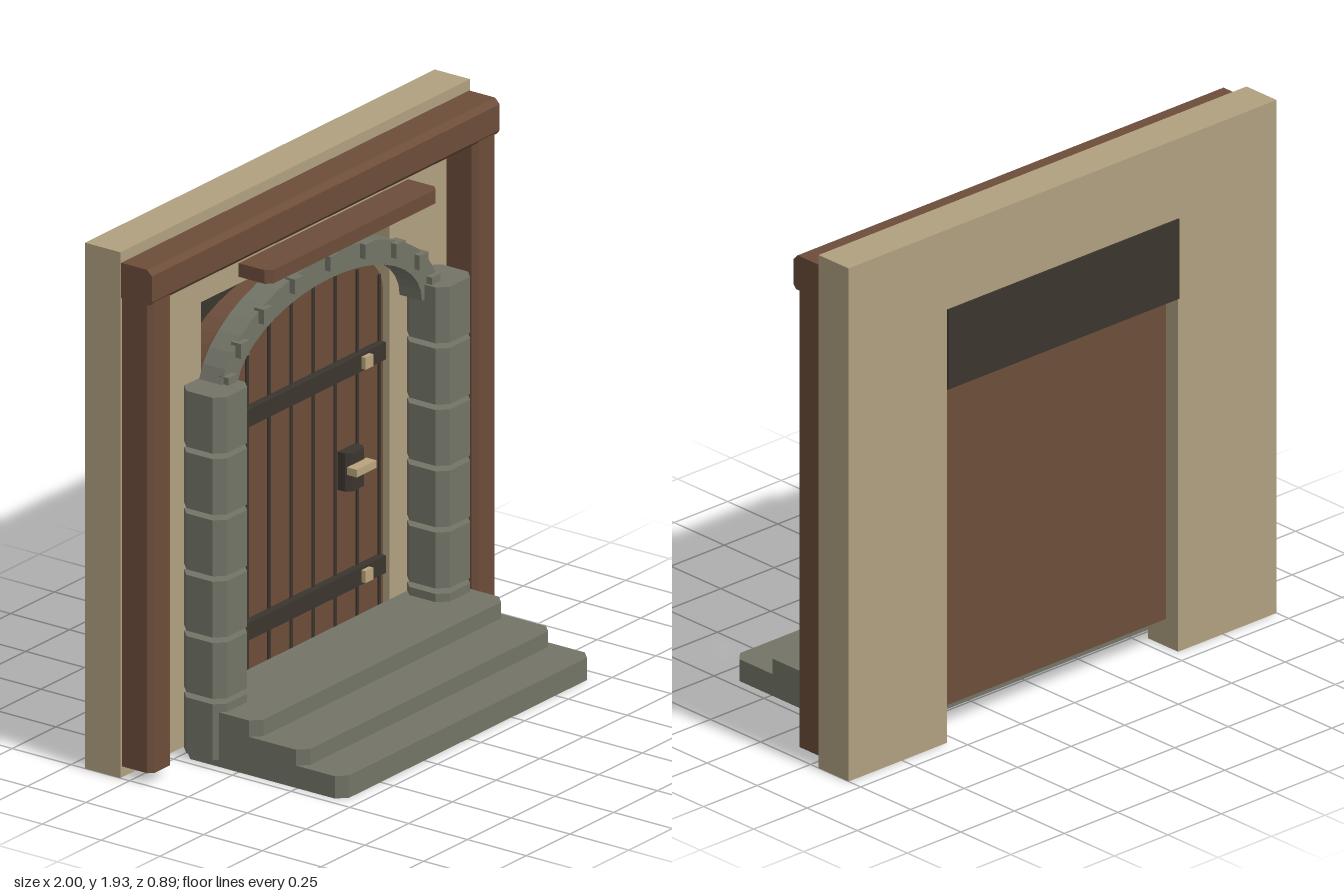
import * as THREE from 'three';

const material = (name, color) => {
  const m = new THREE.MeshStandardMaterial({ color });
  m.name = name;
  return m;
};

export function createModel() {
  const plaster = material('plaster', 0xb0a080);
  const wood = material('wood', 0x6c4d3a);
  const stone = material('stone', 0x737467);
  const iron = material('iron', 0x3b352e);
  const brass = material('brass', 0xbaa47c);

  const model = new THREE.Group();
  model.name = 'doorway';

  const add = (name, geometry, mat) => {
    const mesh = new THREE.Mesh(geometry, mat);
    mesh.name = name;
    model.add(mesh);
    return mesh;
  };

  // Plain block given by its limits on each axis
  const box = (name, mat, [x0, x1], [y0, y1], [z0, z1]) => {
    const g = new THREE.BoxGeometry(x1 - x0, y1 - y0, z1 - z0);
    g.translate((x0 + x1) / 2, (y0 + y1) / 2, (z0 + z1) / 2);
    return add(name, g, mat);
  };

  const outline = points => new THREE.Shape(points.map(p => new THREE.Vector2(...p)));
  const extrude = (shape, depth) => new THREE.ExtrudeGeometry(shape, { depth, bevelEnabled: false });

  // Upright block whose vertical edges are cut: c at the front, b at the back
  const cutBlock = (name, mat, [x0, x1], [y0, y1], [z0, z1], c, b = 0) => {
    const pts = [[x0 + c, -z1], [x1 - c, -z1], [x1, -z1 + c], [x1, -z0 - b]];
    if (b) pts.push([x1 - b, -z0], [x0 + b, -z0]);
    pts.push([x0, -z0 - b], [x0, -z1 + c]);
    const g = extrude(outline(pts), y1 - y0);
    g.rotateX(-Math.PI / 2);
    g.translate(0, y0, 0);
    return add(name, g, mat);
  };

  // Points along the upper half of an ellipse, from right to left
  const SPRING = 1.3;
  const arc = (rx, ry, n = 20) => Array.from({ length: n + 1 }, (_, i) => {
    const a = Math.PI * i / n;
    return [rx * Math.cos(a), SPRING + ry * Math.sin(a)];
  });

  // Wall with an opening down to the ground
  const wall = extrude(outline([
    [-1, 0], [-0.54, 0], [-0.54, 1.6], [0.54, 1.6],
    [0.54, 0], [1, 0], [1, 1.93], [-1, 1.93],
  ]), 0.15);
  wall.translate(0, 0, -0.44);
  add('wall', wall, plaster);
  box('backPanel', iron, [-0.54, 0.54], [1.33, 1.63], [-0.446, -0.385]);

  // Timber frame
  for (const s of [-1, 1]) {
    const xs = s < 0 ? [-0.99, -0.865] : [0.865, 0.99];
    cutBlock('framePost', wood, xs, [0.04, 1.77], [-0.29, -0.165], 0.018);
  }
  const lintel = extrude(outline([
    [0.29, 1.76], [0.29, 1.89], [0.18, 1.89], [0.16, 1.87], [0.16, 1.775], [0.172, 1.76],
  ].reverse()), 1.99);
  lintel.rotateY(Math.PI / 2);
  lintel.translate(-0.995, 0, 0);
  add('lintel', lintel, wood);
  cutBlock('canopyBoard', wood, [-0.485, 0.485], [1.705, 1.755], [-0.17, -0.037], 0.022);

  // Arched door leaf with dark grooves between planks
  const leaf = extrude(outline([[-0.53, 0.11], [0.53, 0.11], ...arc(0.53, 0.255)]), 0.08);
  leaf.translate(0, 0, -0.39);
  add('doorLeaf', leaf, wood);
  for (let i = -3; i <= 4; i++) {
    const x = i * 0.126;
    const top = SPRING - 0.05 + 0.25 * Math.sqrt(1 - (x / 0.53) ** 2) + (i === 4 ? 0.04 : 0);
    box('plankGroove', iron, [x - 0.007, x + 0.007], [0.13, top], [-0.312, -0.304]);
  }

  // Iron straps with studs
  for (const y of [0.31, 1.093]) {
    box('doorStrap', iron, [-0.505, 0.505], [y - 0.032, y + 0.032], [-0.312, -0.28]);
    for (const x of [-0.4, 0.387]) {
      box('strapStud', brass, [x - 0.022, x + 0.022], [y - 0.022, y + 0.022], [-0.285, -0.262]);
    }
  }

  // Lock and handle
  cutBlock('lockPlate', iron, [0.27, 0.37], [0.65, 0.79], [-0.312, -0.26], 0.018);
  box('doorHandle', brass, [0.258, 0.37], [0.72, 0.748], [-0.262, -0.22]);

  // Stone pillars of stacked blocks
  for (const s of [-1, 1]) {
    const xs = s < 0 ? [-0.73, -0.545] : [0.545, 0.73];
    for (let i = 0; i < 6; i++) {
      const y = 0.025 + i * 0.225;
      cutBlock('pillarBlock', stone, xs, [y, y + 0.205], [-0.245, -0.063], 0.035, 0.035);
    }
  }

  // Stone arch with small raised blocks
  const arch = extrude(outline([...arc(0.625, 0.34), ...arc(0.53, 0.25).reverse()]), 0.095);
  arch.translate(0, 0, -0.24);
  add('stoneArch', arch, stone);
  for (let i = -4; i <= 4; i++) {
    const a = i * Math.PI / 9;
    const x = 0.59 * Math.sin(a), y = SPRING + 0.315 * Math.cos(a);
    box('archBlock', stone, [x - 0.025, x + 0.025], [y - 0.027, y + 0.027], [-0.165, -0.122]);
  }

  // Three steps
  [[0, 0.082, 0.445], [0.082, 0.14, 0.28], [0.14, 0.2, 0.08]].forEach(([y0, y1, front]) => {
    cutBlock('step', stone, [-0.715, 0.715], [y0, y1], [-0.24, front], 0.035, 0.035);
  });

  return model;
}
